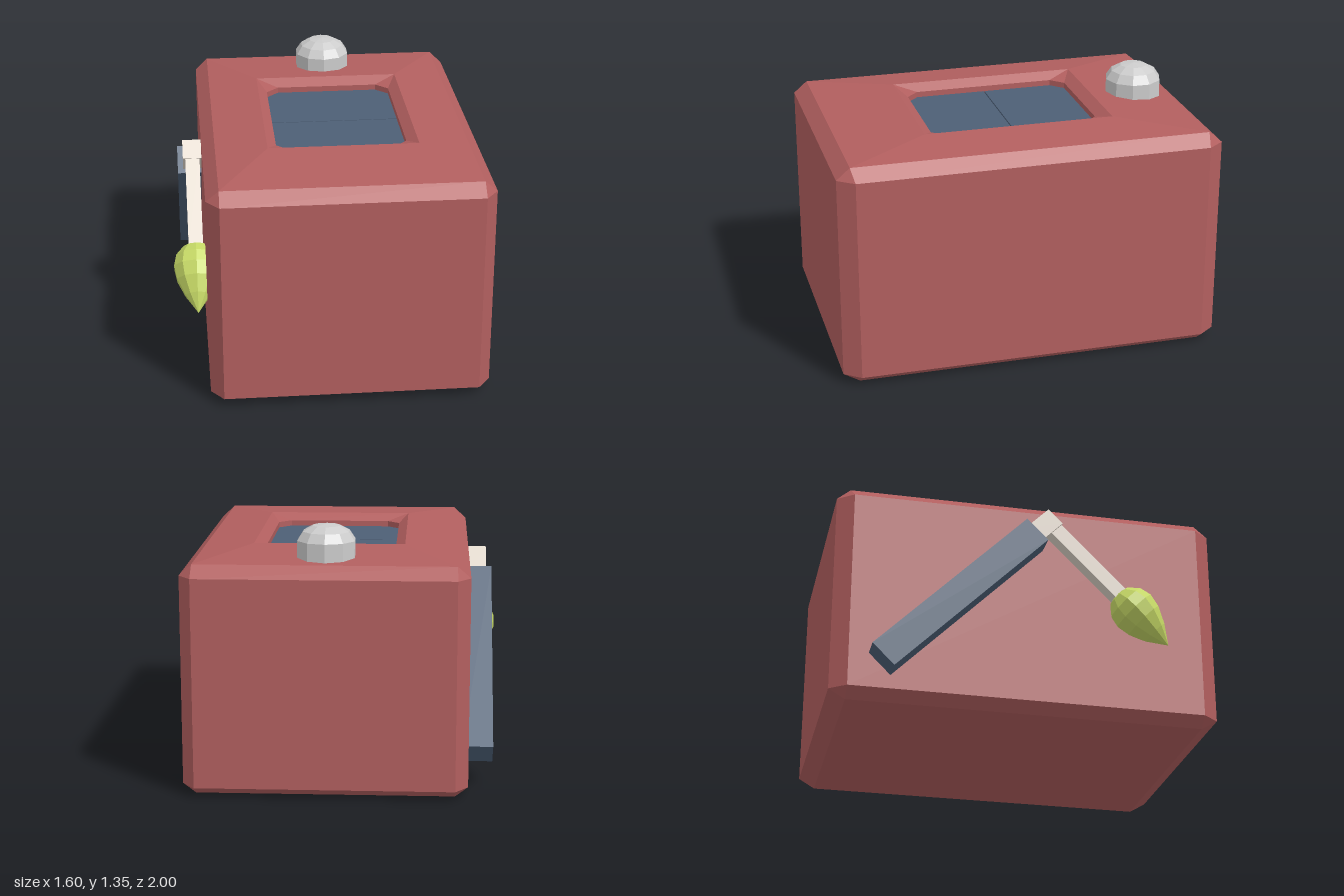
import * as THREE from 'three';

const mat = (color) => new THREE.MeshStandardMaterial({ color, flatShading: true });
const red = mat(0xb25f5f);
const blue = mat(0x4d5f76);
const beige = mat(0xe0d6ca);
const green = mat(0xc6d966);
const grey = mat(0xcccccc);

function add(parent, name, geometry, material, x = 0, y = 0, z = 0) {
  const mesh = new THREE.Mesh(geometry, material);
  mesh.name = name;
  mesh.position.set(x, y, z);
  parent.add(mesh);
  return mesh;
}

// Rectangle with cut corners at height y; zero cuts give doubled corner points
function ring(y, hx, hz, cx = 0, cz = 0) {
  const a = hx - cx, b = hz - cz;
  return [
    [a, hz], [hx, b], [hx, -b], [a, -hz],
    [-a, -hz], [-hx, -b], [-hx, b], [-a, hz],
  ].map(([x, z]) => new THREE.Vector3(x, y, z));
}

// Skin of stacked rings, closed at both ends
function skin(rings) {
  const pos = [];
  const tri = (a, b, c) => {
    if (a.distanceTo(b) < 1e-6 || b.distanceTo(c) < 1e-6 || a.distanceTo(c) < 1e-6) return;
    pos.push(...a.toArray(), ...b.toArray(), ...c.toArray());
  };
  for (let r = 0; r < rings.length - 1; r++) {
    const lo = rings[r], hi = rings[r + 1];
    for (let i = 0; i < 8; i++) {
      const j = (i + 1) % 8;
      tri(lo[i], lo[j], hi[j]);
      tri(lo[i], hi[j], hi[i]);
    }
  }
  const first = rings[0], last = rings[rings.length - 1];
  for (let i = 1; i < 7; i++) {
    tri(first[0], first[i + 1], first[i]);
    tri(last[0], last[i], last[i + 1]);
  }
  const geo = new THREE.BufferGeometry();
  geo.setAttribute('position', new THREE.Float32BufferAttribute(pos, 3));
  geo.computeVertexNormals();
  return geo;
}

const lathe = (points, sides) =>
  new THREE.LatheGeometry(points.map(([r, y]) => new THREE.Vector2(r, y)), sides);

export function createModel() {
  const model = new THREE.Group();
  model.name = 'boxWithCrank';
  const cx = 0.083;

  // Chamfered body with a shallow sloped lid and a window recess
  add(model, 'body', skin([
    ring(0, 0.652, 0.915),
    ring(0.05, 0.7175, 1, 0.065, 0.085),
    ring(1.115, 0.7175, 1, 0.065, 0.085),
    ring(1.175, 0.652, 0.93),
    ring(1.207, 0.387, 0.497),
    ring(1.17, 0.337, 0.44, 0.065, 0.065),
    ring(1.125, 0.337, 0.44, 0.065, 0.065),
  ]), red, cx);

  // Two window panels meeting at a thin centre seam
  const pane = new THREE.Shape([
    [-0.337, 0.003], [0.337, 0.003], [0.337, 0.375],
    [0.272, 0.44], [-0.272, 0.44], [-0.337, 0.375],
  ].map(([x, y]) => new THREE.Vector2(x, y)));
  const paneGeo = new THREE.ExtrudeGeometry(pane, { depth: 0.02, bevelEnabled: false });
  paneGeo.rotateX(-Math.PI / 2);
  add(model, 'backPanel', paneGeo, blue, cx, 1.12);
  add(model, 'frontPanel', paneGeo, blue, cx, 1.12).rotation.y = Math.PI;

  // Domed button on the lid
  add(model, 'button', lathe([
    [0, 1.14], [0.15, 1.14], [0.15, 1.27], [0.12, 1.315], [0.07, 1.343], [0, 1.352],
  ], 10), grey, cx, 0, -0.74);

  // Crank on the side, tilted forward
  const crank = new THREE.Group();
  crank.name = 'crank';
  crank.position.set(-0.682, 0.565, -0.37);
  crank.rotation.x = Math.PI / 4;
  model.add(crank);
  add(crank, 'crankBar', new THREE.BoxGeometry(0.156, 1.1, 0.156), blue);
  add(crank, 'crankJoint', new THREE.BoxGeometry(0.1, 0.17, 0.106), beige, 0, 0.611, 0);
  add(crank, 'crankRod', new THREE.BoxGeometry(0.075, 0.075, 0.53), beige, 0, 0.654, 0.285);

  // Pointed bulb at the end of the rod
  add(crank, 'crankKnob', lathe([
    [0, -0.125], [0.065, -0.105], [0.108, -0.055], [0.122, 0.005],
    [0.108, 0.075], [0.066, 0.16], [0, 0.255],
  ], 10), green, 0, 0.654, 0.633).rotation.x = Math.PI / 2;

  return model;
}
